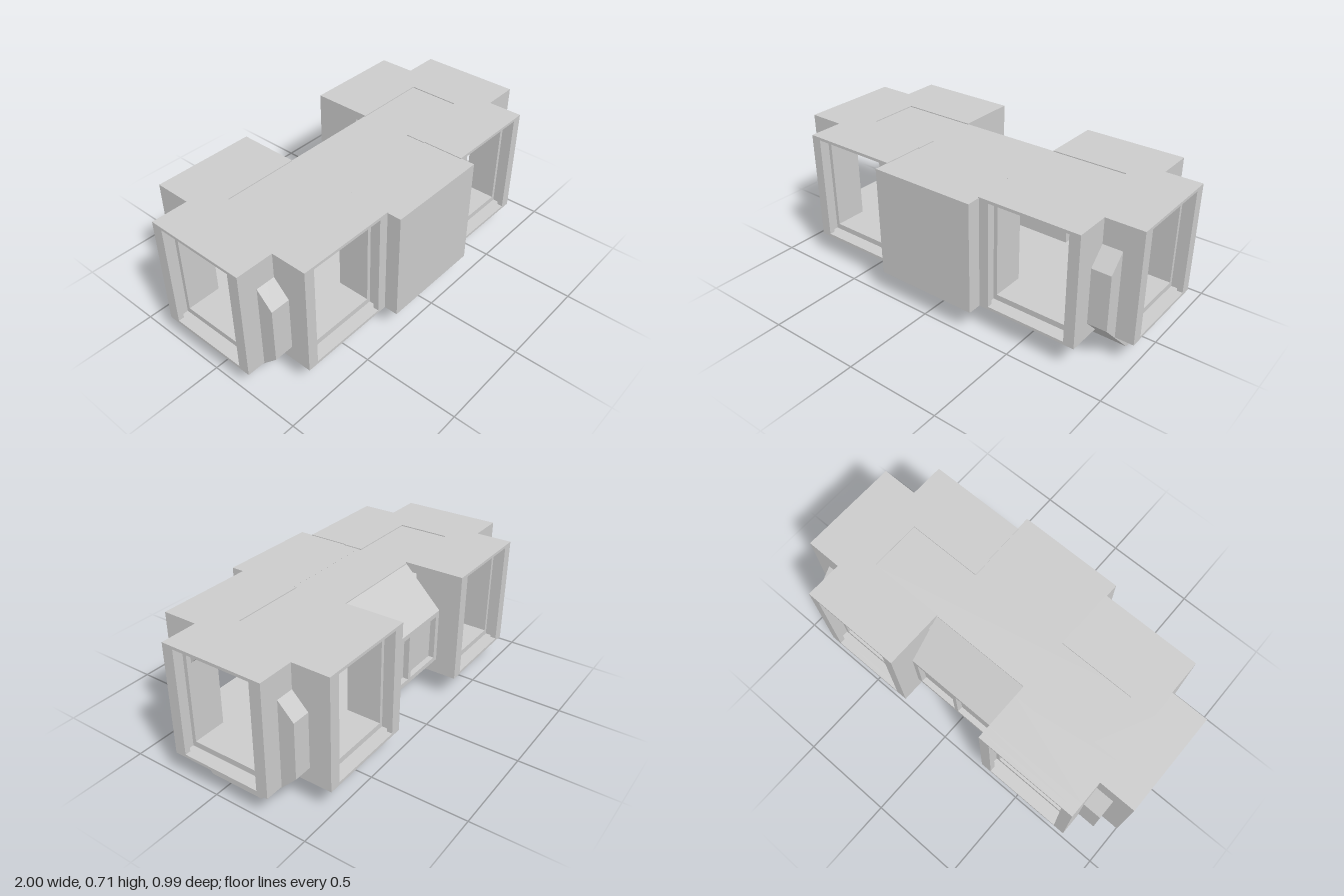
import * as THREE from 'three';

const material = new THREE.MeshStandardMaterial({ color: 0xcccccc, flatShading: true });
const CZ = -0.035; // centre line of the hull in z
const TOP = 0.713;

function add(parent, name, geometry) {
  const mesh = new THREE.Mesh(geometry, material);
  mesh.name = name;
  parent.add(mesh);
  return mesh;
}

function box(parent, name, x0, x1, y0, y1, z0, z1) {
  const mesh = add(parent, name, new THREE.BoxGeometry(x1 - x0, y1 - y0, z1 - z0));
  mesh.position.set((x0 + x1) / 2, (y0 + y1) / 2, (z0 + z1) / 2);
}

const toPath = (Type, points) => new Type(points.map(([x, y]) => new THREE.Vector2(x, y)));
const rect = (x0, x1, y0, y1) => [[x0, y0], [x1, y0], [x1, y1], [x0, y1]];

// Flat plate with holes, all counter-clockwise, extruded between z0 and z1
function plate(parent, name, outline, holes, z0, z1) {
  const shape = toPath(THREE.Shape, outline);
  shape.holes = holes.map((h) => toPath(THREE.Path, h));
  const geometry = new THREE.ExtrudeGeometry(shape, { depth: z1 - z0, bevelEnabled: false });
  return add(parent, name, geometry.translate(0, 0, z0));
}

// Cross-section given as [z offset from the centre line, y], extruded between x0 and x1
function section(parent, name, outline, holes, x0, x1) {
  const flip = (pts) => pts.map(([z, y]) => [-z, y]).reverse();
  const mesh = plate(parent, name, flip(outline), holes.map(flip), x0, x1);
  mesh.geometry.rotateY(Math.PI / 2);
  mesh.position.z = CZ;
}

// Doorway facing +z: outer lip, wider door slot, inner frame
function portal(name, width, inner, outer) {
  const group = new THREE.Group();
  group.name = name;
  const w = width / 2;
  const outline = rect(-w, w, 0.13, TOP);
  const slot = outer - 0.03, back = outer - 0.07;
  plate(group, 'doorLip', outline, [rect(-0.21, 0.21, 0.145, 0.698)], slot, outer);
  plate(group, 'doorSlot', outline, [rect(-0.23, 0.23, 0.145, 0.698)], back, slot);
  plate(group, 'doorFrame', outline, [rect(-0.21, 0.21, 0.175, 0.667)], inner, back);
  return group;
}

export function createModel() {
  const model = new THREE.Group();
  model.name = 'corridorModule';

  // Octagonal hull profile and the room inside the ends
  const hull = [[0.147, 0], [0.352, 0.21], [0.352, 0.5], [0.147, 0.706],
    [-0.147, 0.706], [-0.352, 0.5], [-0.352, 0.21], [-0.147, 0]];
  const room = [[-0.21, 0.175], [0.21, 0.175], [0.21, 0.585], [0.125, 0.665],
    [-0.125, 0.665], [-0.21, 0.585]];

  // Middle hull: window recess outside, sloped sills and niches inside
  const middle = hull.slice();
  middle.splice(6, 0, [-0.352, 0.475], [-0.322, 0.475], [-0.322, 0.235], [-0.352, 0.235]);
  const middleRoom = [[-0.21, 0.175], [0.21, 0.175], [0.21, 0.2], [0.29, 0.28], [0.29, 0.5],
    [0.21, 0.585], [0.125, 0.665], [-0.125, 0.665], [-0.21, 0.585], [-0.31, 0.485],
    [-0.31, 0.3], [-0.27, 0.3], [-0.21, 0.24]];
  section(model, 'middleHull', middle, [middleRoom], -0.33, 0.33);
  for (const [x0, x1] of [[-0.33, -0.24], [-0.012, 0.012], [0.24, 0.33]]) {
    box(model, 'windowPost', x0, x1, 0.23, 0.48, -0.387, -0.35);
  }

  // Floor and roof sections where the side doorways cut the hull
  const floor = [[0.147, 0], [0.318, 0.175], [-0.318, 0.175], [-0.147, 0]];
  const roof = [[0.212, 0.7], [-0.212, 0.7], [-0.212, 0.588], [-0.125, 0.665],
    [0.125, 0.665], [0.212, 0.588]];

  for (const s of [-1, 1]) {
    const span = (a, b) => (s > 0 ? [a, b] : [-b, -a]);
    section(model, 'hullFloor', floor, [], ...span(0.33, 0.75));
    section(model, 'hullRoof', roof, [], ...span(0.33, 0.905));
    section(model, 'hullEnd', hull, [room], ...span(0.75, 0.905));

    // Doorways on the front, back and end
    const front = portal('frontDoorway', 0.53, 0.175, 0.42);
    front.position.x = s * 0.54;
    const back = portal('backDoorway', 0.54, 0.245, 0.5);
    back.position.x = s * 0.54;
    back.rotation.y = Math.PI;
    const end = portal('endDoorway', 0.54, 0.805, 1);
    end.position.z = CZ;
    end.rotation.y = s * Math.PI / 2;
    model.add(front, back, end);

    // Raised roof edges joining the doorways
    box(model, 'backRoofEdge', ...span(0.27, 0.81), 0.667, TOP, -0.26, -0.18);
    box(model, 'endRoofEdge', ...span(0.675, 0.81), 0.667, TOP, -0.18, 0.095);
    box(model, 'frontRoofEdge', ...span(0.27, 0.81), 0.667, TOP, 0.095, 0.2);
  }

  // Front bay and the slightly sunken roof panel
  const bay = [[0.262, 0.13], [0.528, 0.13], [0.528, 0.709], [0.147, 0.709],
    [0.31, 0.53], [0.31, 0.2]];
  section(model, 'frontBay', bay, [], -0.28, 0.28);
  box(model, 'roofPanel', -0.68, 0.68, 0.667, 0.708, -0.185, 0.12);

  // Ceiling lamps
  for (const x of [-0.54, 0, 0.54]) {
    const lamp = add(model, 'ceilingLamp', new THREE.CylinderGeometry(0.04, 0.028, 0.012, 16));
    lamp.position.set(x, 0.66, CZ);
  }
  return model;
}
